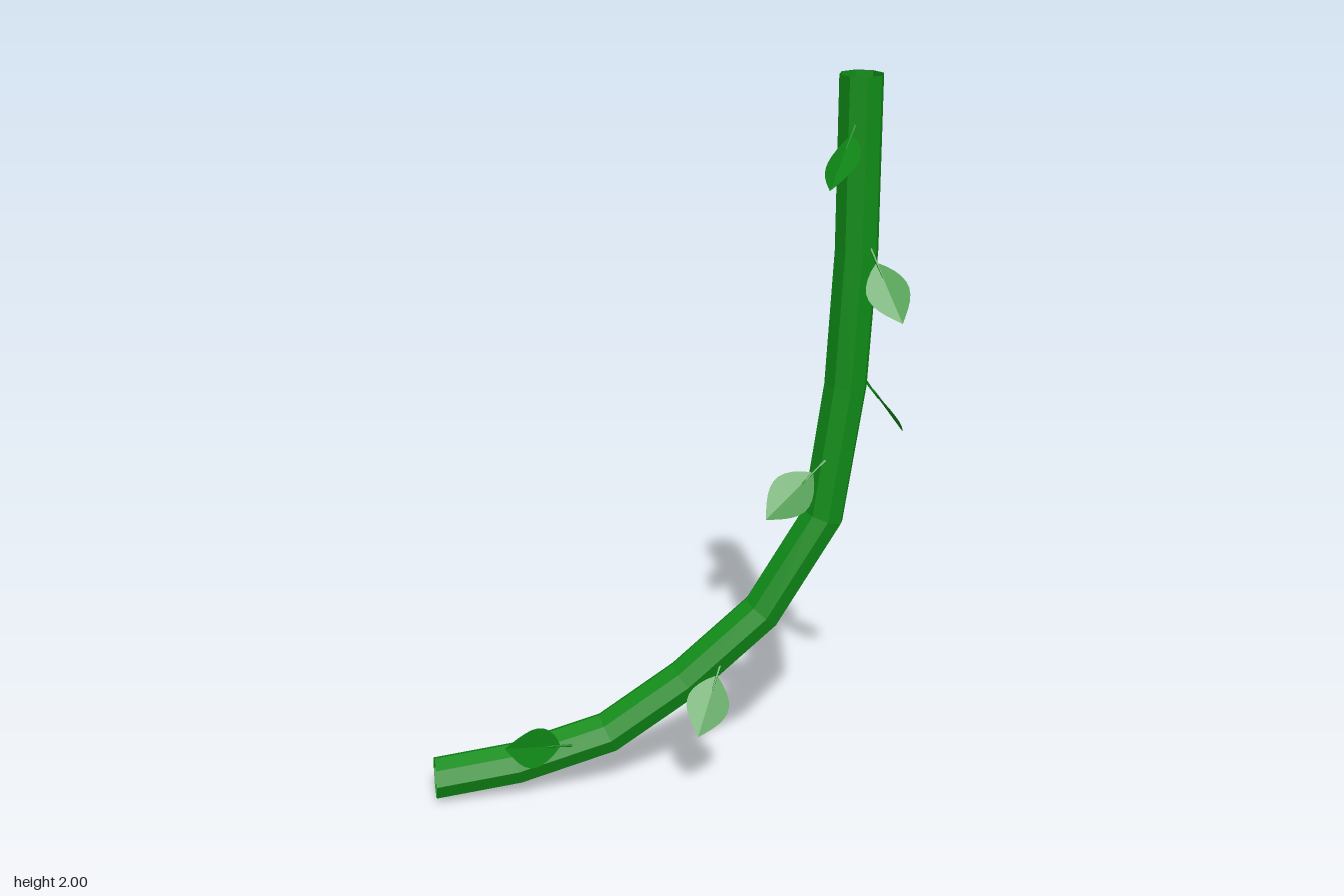
import * as THREE from 'three';

const V = (a) => new THREE.Vector3(...a);

// Octagonal open tube: one ring of eight corners at each joint of the centre line
function stemGeometry(path, radius, z, sides) {
  const pos = [], index = [];
  path.forEach(([x, y], i) => {
    const [px, py] = path[Math.max(i - 1, 0)];
    const [nx, ny] = path[Math.min(i + 1, path.length - 1)];
    const a = new THREE.Vector2(x - px, y - py).normalize();
    const t = new THREE.Vector2(nx - x, ny - y).normalize().add(a).normalize();
    if (i === 0) t.set(1, 0);                      // lower end is cut upright
    if (i === path.length - 1) t.set(0, 1);        // upper end is cut level
    for (let k = 0; k < sides; k++) {
      const ang = (k / sides) * Math.PI * 2;
      const c = radius * Math.cos(ang);
      pos.push(x - t.y * c, y + t.x * c, z + radius * Math.sin(ang));
      if (i > 0) {
        const k2 = (k + 1) % sides, p = (i - 1) * sides, q = i * sides;
        index.push(p + k, q + k, p + k2, p + k2, q + k, q + k2);
      }
    }
  });
  const g = new THREE.BufferGeometry();
  g.setAttribute('position', new THREE.Float32BufferAttribute(pos, 3));
  g.setIndex(index);
  g.computeVertexNormals();
  return g;
}

// Pointed oval blade along +y, slightly folded on its midrib
function bladeGeometry(length, halfWidth) {
  const g = new THREE.PlaneGeometry(2, 1, 2, 10);
  const p = g.attributes.position;
  for (let i = 0; i < p.count; i++) {
    const u = p.getY(i) + 0.5;
    const s = p.getX(i);
    const w = halfWidth * Math.sin(Math.PI * Math.pow(u, 0.9));
    p.setXYZ(i, s * w, length * (0.12 + 0.88 * u), Math.abs(s) * w * 0.12);
  }
  g.computeVertexNormals();
  return g;
}

export function createModel() {
  const root = new THREE.Group();
  root.name = 'vine';
  const green = new THREE.MeshStandardMaterial({
    color: 0x108c18, flatShading: true, side: THREE.DoubleSide,
  });

  // Stem
  const path = [
    [-0.67, 0.062], [-0.44, 0.088], [-0.18, 0.16], [0.04, 0.306], [0.26, 0.498],
    [0.43, 0.775], [0.485, 1.155], [0.505, 1.53], [0.505, 2],
  ];
  const stem = new THREE.Mesh(stemGeometry(path, 0.06, -0.04, 8), green);
  stem.name = 'stem';
  root.add(stem);

  // Leaves: foot on the stem, tip, and the direction across the blade
  const leaves = [
    [[0.475, 1.87, 0.01], [0.386, 1.73, 0.12], [0.5, 0.3, 0.7]],
    [[0.535, 1.53, 0.015], [0.588, 1.37, 0.135], [1, 0.2, -0.15]],
    [[0.545, 1.155, -0.04], [0.668, 0.987, -0.097], [0.12, -0.17, 0.787]],
    [[0.405, 0.94, 0.01], [0.24, 0.822, 0.083], [0.1325, -0.13, 0.075]],
    [[0.13, 0.36, 0.012], [0.047, 0.207, 0.127], [0.414, -0.155, 0.115]],
    [[-0.3, 0.155, 0.012], [-0.485, 0.2, 0.086], [0.175, 0.8, -0.075]],
  ];
  leaves.forEach(([foot, tip, across], i) => {
    const base = V(foot), dir = V(tip).sub(base);
    const length = dir.length();
    dir.normalize();
    const side = V(across).addScaledVector(dir, -V(across).dot(dir)).normalize();
    const normal = new THREE.Vector3().crossVectors(side, dir);

    const leaf = new THREE.Group();
    leaf.name = `leaf${i + 1}`;
    const blade = new THREE.Mesh(bladeGeometry(length, 0.06), green);
    blade.name = 'blade';
    const stalk = new THREE.Mesh(new THREE.CylinderGeometry(0.002, 0.005, 0.1, 5), green);
    stalk.name = 'stalk';
    stalk.position.y = 0.02;
    leaf.add(blade, stalk);
    leaf.quaternion.setFromRotationMatrix(new THREE.Matrix4().makeBasis(side, dir, normal));
    leaf.position.copy(base);
    root.add(leaf);
  });

  return root;
}
